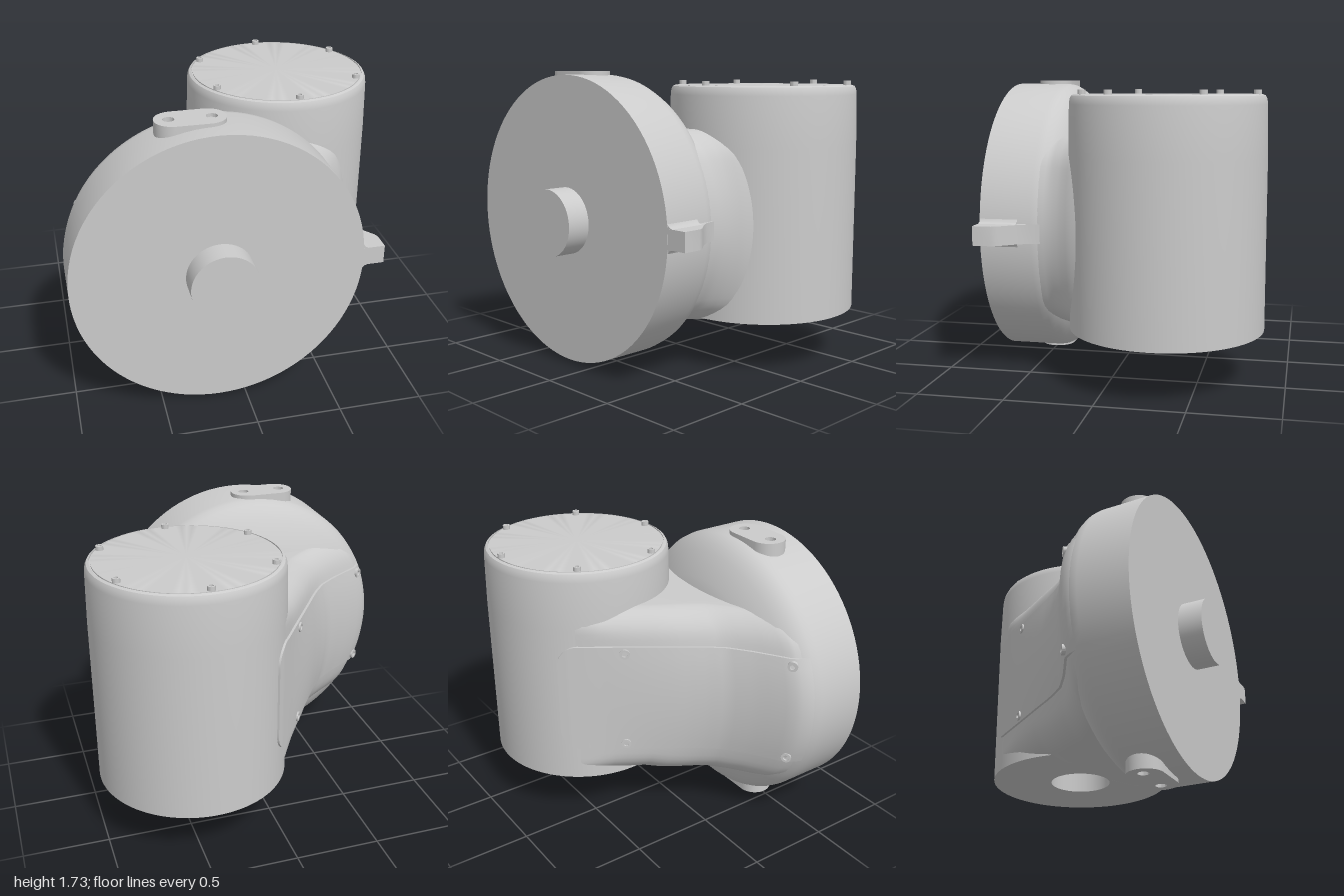
import * as THREE from 'three';
import { toCreasedNormals } from 'three/addons/utils/BufferGeometryUtils.js';

const material = new THREE.MeshStandardMaterial({ color: 0xcccccc });
const MID = 0.865, DRUM_R = 0.84, DRUM_X = -0.16;
const CYL_X = 0.433, CYL_Z = -0.31;

// Neck stations: z, left x, right x, roundness, bottom y
const STATIONS = [
  [0.50, -0.985, 0.66, 1, 0.29], [0.42, -0.985, 0.67, 1, 0.29], [0.38, -0.98, 0.675, 1, 0.29],
  [0.34, -0.96, 0.68, 1, 0.29], [0.30, -0.925, 0.69, 0.95, 0.29], [0.25, -0.84, 0.71, 0.9, 0.29],
  [0.18, -0.72, 0.75, 0.8, 0.29], [0.09, -0.59, 0.78, 0.68, 0.29], [0, -0.505, 0.8, 0.55, 0.29],
  [-0.08, -0.44, 0.6, 0.45, 0.29], [-0.16, -0.38, 0.2, 0.36, 0.3], [-0.25, -0.312, 0.2, 0.28, 0.32],
  [-0.38, -0.213, 0.2, 0.15, 0.32], [-0.49, -0.13, 0.2, 0.05, 0.32], [-0.58, -0.065, 0.2, 0, 0.32],
  [-0.66, -0.005, 0.2, 0, 0.32], [-0.71, 0.04, 0.2, 0, 0.32],
];

function stationAt(z) {
  let i = 0;
  while (i < STATIONS.length - 2 && STATIONS[i + 1][0] > z) i++;
  const a = STATIONS[i], b = STATIONS[i + 1], t = (a[0] - z) / (a[0] - b[0]);
  return a.map((v, k) => v + (b[k] - v) * t);
}

// How far the wall recedes at height y because of the drum's roundness
const recede = (y) => DRUM_R - Math.sqrt(DRUM_R ** 2 - (y - MID) ** 2);

// Skin over a row of rings of equal length
function loft(rings, closed) {
  const n = rings[0].length, index = [];
  for (let i = 0; i < rings.length - 1; i++) {
    for (let j = 0; j < (closed ? n : n - 1); j++) {
      const k = (j + 1) % n;
      const a = i * n + j, b = i * n + k, c = a + n, d = b + n;
      index.push(a, b, c, b, d, c);
    }
  }
  const geo = new THREE.BufferGeometry();
  geo.setAttribute('position', new THREE.Float32BufferAttribute(rings.flat(2), 3));
  geo.setIndex(index);
  geo.computeVertexNormals();
  return geo;
}

function neckRing(z) {
  const [, xl, xr, round, yb] = stationAt(z);
  const top = 1.4, c = (top + yb) / 2, half = (top - yb) / 2;
  const r = Math.min(0.15, (xr - xl) * 0.4), left = [], right = [];
  for (let i = 0; i <= 32; i++) {
    const dy = half * Math.sin((i / 32 - 0.5) * Math.PI), y = c + dy;
    const over = Math.max(0, Math.abs(dy) - half + r);
    const corner = r - Math.sqrt(Math.max(0, r * r - over * over));
    left.push([xl + round * recede(y) + corner, y, z]);
    right.unshift([xr - round * round * recede(y) - corner, y, z]);
  }
  return [...left, ...right];
}

// Outward plan normal of the neck's slanted wall
function wallNormal(z) {
  const slope = (stationAt(z + 0.04)[1] - stationAt(z - 0.04)[1]) / 0.08;
  return new THREE.Vector3(-1, 0, slope).normalize();
}

function wallPoint(z, y, offset) {
  const s = stationAt(z), n = wallNormal(z);
  return [s[1] + s[3] * recede(y) + n.x * offset, y, z + n.z * offset];
}

function panelGeometry() {
  const rings = [], start = 0.47, end = -0.7, steps = 60, r = 0.12;
  for (let i = 0; i <= steps + 1; i++) {
    const t = Math.min(1, i / steps);
    const z = start + (end - start) * (1 - (1 - t) ** 1.5);
    const d = Math.min(r, (z - end) * 1.3);
    const h = 0.34 - r + Math.sqrt(Math.max(0, r * r - (r - d) ** 2));
    const lift = i > steps ? -0.03 : 0.014 * Math.min(1, (start - z) / 0.15);
    const ring = [wallPoint(z, MID - h, -0.03)];
    for (let j = 0; j <= 12; j++) ring.push(wallPoint(z, MID + h * (j / 6 - 1), lift));
    ring.push(wallPoint(z, MID + h, -0.03));
    rings.push(ring);
  }
  return toCreasedNormals(loft(rings, false), 0.7);
}

function lathe(points, segments) {
  const pts = points.map(([x, y]) => new THREE.Vector2(x, y));
  return toCreasedNormals(new THREE.LatheGeometry(pts, segments), 0.5);
}

const boltGeometry = (r, h) =>
  lathe([[r, -0.02], [r, h], [r * 0.55, h], [r * 0.55, h - 0.012], [0, h - 0.012]], 20);

function polygon(points) {
  return new THREE.Shape(points.map(([x, y]) => new THREE.Vector2(x, y)));
}

export function createModel() {
  const group = new THREE.Group();
  const add = (name, geo, x = 0, y = 0, z = 0) => {
    const mesh = new THREE.Mesh(geo, material);
    mesh.name = name;
    mesh.position.set(x, y, z);
    group.add(mesh);
    return mesh;
  };

  // Front drum with domed back, and its shaft
  const drum = lathe([[0, 0.15], [0.5, 0.175], [0.6, 0.21], [0.68, 0.25], [0.74, 0.285], [0.785, 0.32],
    [0.815, 0.355], [0.833, 0.39], [DRUM_R, 0.43], [DRUM_R, 0.73], [0, 0.73]], 96);
  add('drum', drum.rotateX(Math.PI / 2), DRUM_X, MID, 0);
  add('shaft', new THREE.CylinderGeometry(0.195, 0.195, 0.2, 64).rotateX(Math.PI / 2), DRUM_X, MID, 0.77);

  // Upright housing with a bore below and a grooved lid above
  add('housing', lathe([[0, 0.85], [0.19, 0.85], [0.19, 0.31], [0.562, 0.31], [0.562, 1.3], [0.556, 1.59],
    [0.552, 1.62], [0.543, 1.638], [0.528, 1.645], [0.528, 1.638], [0.52, 1.638], [0.52, 1.645], [0, 1.645]], 96),
    CYL_X, 0, CYL_Z);
  const lidBolt = boltGeometry(0.022, 0.025);
  for (let i = 0; i < 6; i++) {
    const a = (i / 6) * Math.PI * 2;
    add('lidBolt', lidBolt, CYL_X + 0.5 * Math.sin(a), 1.645, CYL_Z + 0.5 * Math.cos(a));
  }

  // Neck joining drum and housing
  const zs = [];
  STATIONS.forEach(([z], i) => {
    if (i) zs.push((z + STATIONS[i - 1][0]) / 2);
    zs.push(z);
  });
  add('neck', loft(zs.map(neckRing), true));

  // Side cover panel and its bolts
  add('coverPanel', panelGeometry());
  const panelBolt = boltGeometry(0.03, 0.012);
  for (const z of [-0.385, 0.3]) {
    for (const side of [-1, 1]) {
      const bolt = add('panelBolt', panelBolt, ...wallPoint(z, MID + side * 0.3, 0.012));
      bolt.quaternion.setFromUnitVectors(new THREE.Vector3(0, 1, 0), wallNormal(z));
    }
  }

  // Oval pads with two holes, above and below the drum
  const pad = new THREE.Shape();
  pad.moveTo(-0.1, -0.105);
  pad.lineTo(0.1, -0.105);
  pad.bezierCurveTo(0.23, -0.09, 0.23, 0.09, 0.1, 0.105);
  pad.lineTo(-0.1, 0.105);
  pad.bezierCurveTo(-0.23, 0.09, -0.23, -0.09, -0.1, -0.105);
  for (const x of [-0.117, 0.117]) pad.holes.push(new THREE.Path().absarc(x, 0, 0.032, 0, Math.PI * 2, true));
  const padGeo = toCreasedNormals(
    new THREE.ExtrudeGeometry(pad, { depth: 0.15, bevelEnabled: false, curveSegments: 20 }), 0.5);
  add('topPad', padGeo, -0.275, 1.575, 0.51).rotation.x = -Math.PI / 2;
  add('bottomPad', padGeo, -0.275, 0.15, 0.51).rotation.x = Math.PI / 2;

  // Side lug with a swept back and flared root
  const lug = polygon([[0.6, 0.728], [0.805, 0.728], [0.805, 0.62], [0.793, 0.59], [0.765, 0.555],
    [0.725, 0.505], [0.695, 0.45], [0.68, 0.38], [0.6, 0.35]]);
  add('lug', toCreasedNormals(new THREE.ExtrudeGeometry(lug, { depth: 0.11, bevelEnabled: false })
    .rotateX(Math.PI / 2), 0.5), 0, 0.92, 0);
  const root = polygon([[0.6, 0.74], [0.668, 0.75], [0.675, 0.785], [0.69, 0.803], [0.715, 0.811],
    [0.715, 0.919], [0.69, 0.927], [0.675, 0.945], [0.668, 0.98], [0.6, 0.99]]);
  add('lugRoot', toCreasedNormals(
    new THREE.ExtrudeGeometry(root, { depth: 0.22, bevelEnabled: false }), 0.5), 0, 0, 0.507);

  return group;
}
